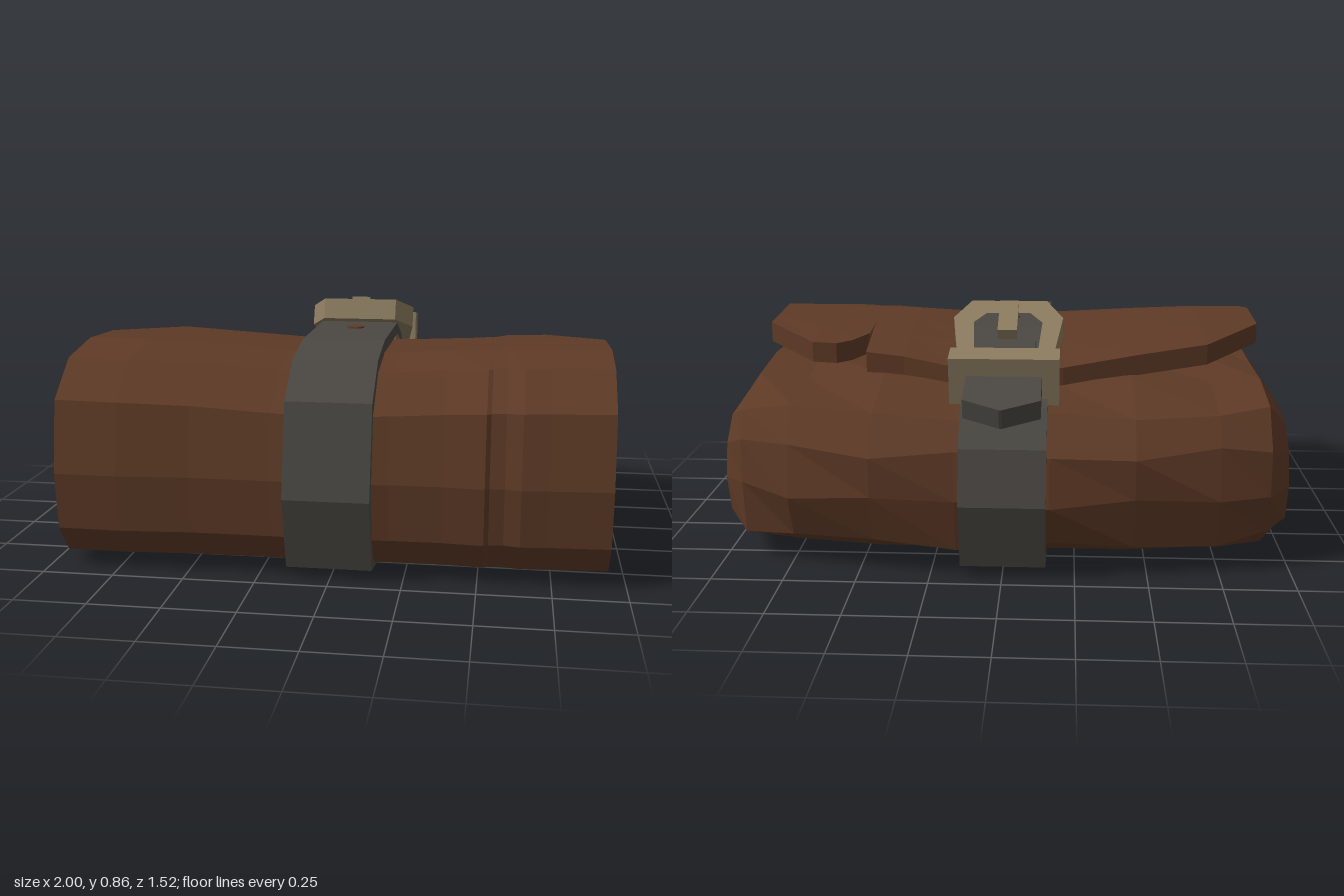
import * as THREE from 'three';

const leather = new THREE.MeshStandardMaterial({ color: 0x5e3a26 });
leather.name = 'brown leather';
const strapGrey = new THREE.MeshStandardMaterial({ color: 0x4b4843 });
strapGrey.name = 'dark grey strap';
const brass = new THREE.MeshStandardMaterial({ color: 0x8c7c60 });
brass.name = 'dull brass';

function part(name, geometry, material) {
  const mesh = new THREE.Mesh(geometry, material);
  mesh.name = name;
  return mesh;
}

// Skins closed rings ordered from -x to +x; cap lists the end triangles (as ring indices).
function loft(rings, cap) {
  const n = rings[0].length;
  const pos = [];
  const tri = (a, b, c) => pos.push(...a, ...b, ...c);
  for (let i = 0; i < rings.length - 1; i++) {
    for (let j = 0; j < n; j++) {
      const k = (j + 1) % n;
      const a = rings[i][j], b = rings[i + 1][j], c = rings[i + 1][k], d = rings[i][k];
      tri(a, d, c);
      tri(a, c, b);
    }
  }
  const first = rings[0], last = rings[rings.length - 1];
  for (const [a, b, c] of cap) {
    tri(last[a], last[b], last[c]);
    tri(first[a], first[c], first[b]);
  }
  const geo = new THREE.BufferGeometry();
  geo.setAttribute('position', new THREE.Float32BufferAttribute(pos, 3));
  geo.computeVertexNormals();
  return geo;
}

// Piecewise linear lookup in a list of [key, value] with rising keys.
function lookup(table, x) {
  if (x <= table[0][0]) return table[0][1];
  for (let i = 1; i < table.length; i++) {
    const [x0, y0] = table[i - 1], [x1, y1] = table[i];
    if (x <= x1) return y0 + (y1 - y0) * (x - x0) / (x1 - x0);
  }
  return table[table.length - 1][1];
}

// Soft bag body: one profile [z, y], pulled in towards both ends
function bodyGeometry() {
  const profile = [
    [0.56, 0.05], [0, 0.04], [-0.52, 0.04], [-0.67, 0.11], [-0.72, 0.28], [-0.7, 0.44], [-0.6, 0.55],
    [-0.3, 0.6], [0, 0.615], [0.38, 0.61], [0.5, 0.55], [0.59, 0.36], [0.57, 0.15],
  ];
  // station: |x|, back scale, front scale, height scale
  const half = [
    [0.16, 1, 1, 1], [0.45, 0.985, 1, 1.01], [0.74, 0.9, 1, 1.01], [0.92, 0.81, 1, 1], [1, 0.68, 0.92, 0.78],
  ];
  const stations = [...half.map(([x, ...s]) => [-x, ...s]).reverse(), ...half];
  const rings = stations.map(([x, back, front, high], i) => profile.map(([z, y], j) => {
    const end = Math.abs(x) > 0.95;
    const bump = end || y < 0.1 || z > 0.2 ? 0 : 0.014 * Math.sin(i * 2.3 + j * 1.9);
    const pz = z * (z < 0 ? back : front) + (z < -0.5 ? bump : 0);
    const py = 0.27 + (y - 0.27) * high + bump;
    const slant = end ? 0.05 * THREE.MathUtils.clamp((pz + 0.35) / 0.9, 0, 1) + 0.06 * Math.max(0, py - 0.3) : 0;
    return [x - Math.sign(x) * slant, py, pz];
  }));
  const cap = [];
  for (let j = 1; j < profile.length - 1; j++) cap.push([0, j, j + 1]);
  return loft(rings, cap);
}

// Thick flap rolled from the bottom over the front, with a torn rear edge
function flapGeometry() {
  const rearEdge = [
    [-0.95, 0.07], [-0.73, -0.2], [-0.48, -0.26], [-0.2, -0.325], [0, -0.33], [0.2, -0.325], [0.38, -0.28],
    [0.52, -0.265], [0.535, -0.085], [0.585, -0.18], [0.64, -0.215], [0.73, -0.21], [0.94, 0.02],
  ];
  const outer = [[0.32, 0.755], [0.52, 0.72], [0.665, 0.6], [0.71, 0.35], [0.695, 0.15], [0.62, 0.045], [0.35, 0.04]];
  const inner = [[0.32, 0.68], [0.48, 0.65], [0.6, 0.55], [0.64, 0.35], [0.625, 0.17], [0.57, 0.09], [0.35, 0.08]];
  const topHeight = [[-0.33, 0.68], [-0.2, 0.72], [0, 0.738], [0.32, 0.755]];
  const rings = rearEdge.map(([x, edge], i) => {
    const tops = [1, 0.66, 0.33].map((t) => {
      const z = 0.32 + (edge - 0.32) * t;
      return [z, lookup(topHeight, z)];
    });
    const sag = 0.032 * Math.exp(-((x / 0.45) ** 2));
    const push = -0.015 * x;
    const place = ([z, y]) => [
      x,
      y - (y > 0.5 ? sag : 0),
      z + (z > 0.5 ? push + 0.008 * Math.sin(i * 2) : 0),
    ];
    const out = [...tops, ...outer].map(place);
    const inn = [...tops.map(([z, y]) => [z, y - 0.075]), ...inner].map(place);
    return [...out, ...inn.reverse()];
  });
  const count = rings[0].length, cap = [];
  for (let k = 0; k < count / 2 - 1; k++) {
    cap.push([k, k + 1, count - 2 - k], [k, count - 2 - k, count - 1 - k]);
  }
  return loft(rings, cap);
}

// Closed strap band: outer and inner side outlines [z, y], extruded across x
function strapGeometry() {
  const outer = [
    [0.47, 0], [0.69, 0.04], [0.755, 0.3], [0.68, 0.62], [0.52, 0.735], [0.32, 0.77], [-0.14, 0.765], [-0.27, 0.715],
    [-0.35, 0.625], [-0.6, 0.585], [-0.71, 0.47], [-0.755, 0.28], [-0.69, 0.04], [-0.47, 0],
  ];
  const inner = [
    [0.46, 0.04], [0.65, 0.075], [0.705, 0.3], [0.64, 0.59], [0.5, 0.69], [0.32, 0.725], [-0.13, 0.72], [-0.24, 0.68],
    [-0.33, 0.58], [-0.58, 0.545], [-0.67, 0.45], [-0.705, 0.28], [-0.65, 0.075], [-0.46, 0.04],
  ];
  const toPoints = (list) => list.map(([z, y]) => new THREE.Vector2(-z, y));
  const shape = new THREE.Shape(toPoints(outer));
  shape.holes.push(new THREE.Path(toPoints(inner)));
  const geo = new THREE.ExtrudeGeometry(shape, { depth: 0.295, bevelEnabled: false });
  return geo.rotateY(Math.PI / 2).translate(-0.15, 0, 0);
}

// Flat plate from half an outline [x, z], mirrored in x, extruded upwards
function plate(half, thickness, halfHole) {
  const mirror = (list) => [...list, ...list.map(([x, z]) => [-x, z]).reverse()]
    .map(([x, z]) => new THREE.Vector2(x, -z));
  const shape = new THREE.Shape(mirror(half));
  if (halfHole) shape.holes.push(new THREE.Path(mirror(halfHole)));
  return new THREE.ExtrudeGeometry(shape, { depth: thickness, bevelEnabled: false }).rotateX(-Math.PI / 2);
}

export function createModel() {
  const model = new THREE.Group();
  model.name = 'rolledLeatherBag';
  model.add(part('bagBody', bodyGeometry(), leather));
  model.add(part('flap', flapGeometry(), leather));
  model.add(part('strapBand', strapGeometry(), strapGrey));

  // Punched hole on top of the strap
  const hole = part('strapHole', new THREE.CylinderGeometry(0.034, 0.034, 0.006, 10), leather);
  hole.position.set(0, 0.769, 0.03);
  model.add(hole);

  // Loose pointed strap end
  const tail = part('strapTail', plate(
    [[0.005, -0.02], [0.13, 0.045], [0.13, 0.25], [0.1, 0.3], [0.1, 0.5]], 0.07), strapGrey);
  tail.position.set(0, 0.56, -0.73);
  tail.rotation.x = -0.24;
  model.add(tail);

  // Buckle frame with prong, tilted up to the front
  const buckle = new THREE.Group();
  buckle.name = 'buckle';
  buckle.position.set(0, 0.635, -0.43);
  buckle.rotation.x = -0.4;
  buckle.add(part('buckleFrame', plate(
    [[0.16, -0.02], [0.2, 0.27], [0.14, 0.38]], 0.08,
    [[0.11, 0.03], [0.125, 0.24], [0.08, 0.3]]), brass));
  const prong = part('buckleProng', new THREE.BoxGeometry(0.07, 0.04, 0.19), brass);
  prong.position.set(0, 0.075, 0.265);
  buckle.add(prong);
  model.add(buckle);

  // Keeper bar across the strap
  const keeper = part('strapKeeper', new THREE.BoxGeometry(0.38, 0.17, 0.1), brass);
  keeper.position.set(0, 0.665, -0.49);
  keeper.rotation.x = -0.17;
  model.add(keeper);
  return model;
}
